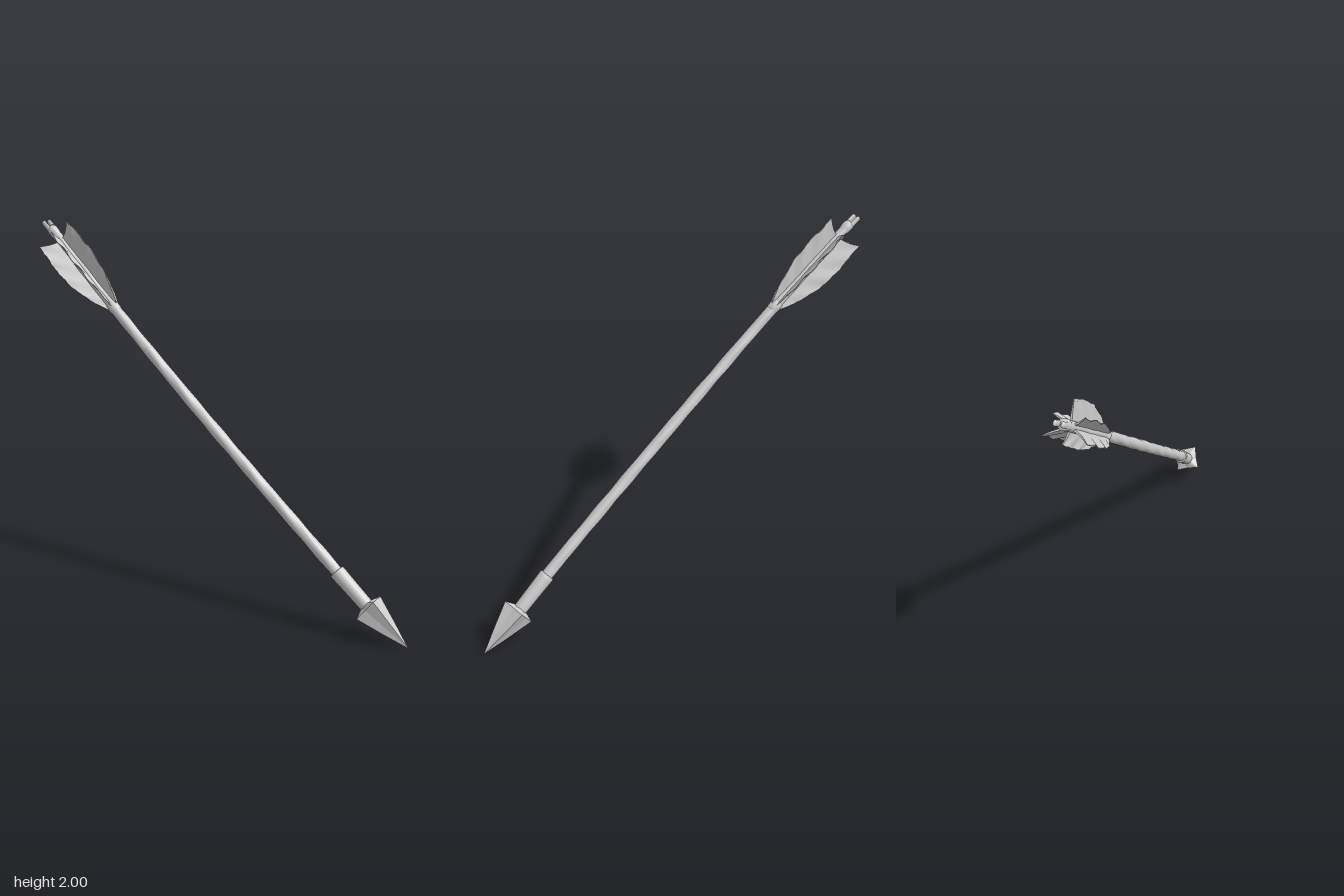
import * as THREE from 'three';

const V = (x, y, z) => new THREE.Vector3(x, y, z);
const nockBase = V(-0.715, 1.94, -0.93);
const nockEnd = V(-0.742, 1.975, -0.97);
const fletchStart = V(-0.437, 1.555, -0.53);
const collarStart = V(0.515, 0.338, 0.675);
const headBase = V(0.647, 0.176, 0.825);
const tip = V(0.812, 0, 1);

// Stand a part built along +y at `from`, pointing to `to`, with its x axis near `side`
function place(mesh, from, to, side = V(0.8, 0.05, -0.58)) {
  const y = to.clone().sub(from).normalize();
  const z = side.clone().cross(y).normalize();
  const x = y.clone().cross(z);
  mesh.quaternion.setFromRotationMatrix(new THREE.Matrix4().makeBasis(x, y, z));
  mesh.position.copy(from);
  return mesh;
}

function lathe(profile, sides) {
  return new THREE.LatheGeometry(profile.map(([r, y]) => new THREE.Vector2(r, y)), sides);
}

// Slightly bowed wooden shaft with shallow twisted grain
function shaftGeometry() {
  const path = new THREE.CatmullRomCurve3([
    nockBase, fletchStart, V(-0.018, 1.004, 0.02), collarStart, V(0.6, 0.235, 0.77),
  ]);
  const rings = 200, sides = 28;
  const geo = new THREE.TubeGeometry(path, rings, 0.031, sides);
  const pos = geo.attributes.position;
  const p = V(), c = V();
  for (let i = 0; i <= rings; i++) {
    const t = i / rings;
    path.getPointAt(t, c);
    const taper = 0.88 + 0.18 * Math.min(1, t * 2);
    for (let j = 0; j <= sides; j++) {
      const a = (j / sides) * Math.PI * 2;
      const grain = 0.025 * Math.sin(2 * a + 80 * t) + 0.025 * Math.sin(4 * a + 60 * t);
      const k = i * (sides + 1) + j;
      p.fromBufferAttribute(pos, k).sub(c).multiplyScalar(taper + grain).add(c);
      pos.setXYZ(k, p.x, p.y, p.z);
    }
  }
  geo.computeVertexNormals();
  return geo;
}

// Four-bladed head: eight sides with every second ridge drawn inward
function headGeometry(length) {
  const profile = [[0.03, -0.025], [0.096, 0], [0.05, length * 0.5], [0, length]];
  const geo = lathe(profile, 8);
  const pos = geo.attributes.position;
  for (let i = 0; i < pos.count; i++) {
    const column = Math.floor(i / profile.length), row = i % profile.length;
    const k = column % 2 === 1 && row > 0 ? 0.65 : 1;
    pos.setXYZ(i, pos.getX(i) * k, pos.getY(i), pos.getZ(i) * k);
  }
  return geo;
}

// Thin feather vane: y runs along the shaft, x outward, z is the rippled thickness
function featherGeometry(span, seed) {
  const geo = new THREE.BoxGeometry(1, 1, 1, 8, 48, 1);
  const pos = geo.attributes.position;
  for (let i = 0; i < pos.count; i++) {
    const r = pos.getX(i) + 0.5, s = pos.getY(i) + 0.5, side = pos.getZ(i) * 2;
    const swell = Math.pow(Math.sin((Math.PI / 2) * Math.min(1, s * 1.55)), 0.85);
    const ragged = 0.0015 * Math.sin(s * 43 + seed) + 0.001 * Math.sin(s * 91 + seed * 2);
    const narrowing = 0.08 * span * Math.max(0, s - 0.75) / 0.25;
    const width = 0.008 + (span + ragged) * swell - narrowing;
    const ripple = 0.005 * r * swell * Math.sin(s * 24 - r * 3 + seed);
    pos.setXYZ(
      i,
      0.02 + r * width,
      -0.008 + s * 0.535 + 0.037 * s * r * r,
      ripple + side * (0.006 - 0.004 * r),
    );
  }
  geo.computeVertexNormals();
  return geo;
}

export function createModel() {
  const model = new THREE.Group();
  model.name = 'arrow';
  const smooth = new THREE.MeshStandardMaterial({ color: 0xcccccc });
  const faceted = new THREE.MeshStandardMaterial({ color: 0xcccccc, flatShading: true });
  const twoSided = new THREE.MeshStandardMaterial({ color: 0xcccccc, side: THREE.DoubleSide });
  const add = (name, mesh) => {
    mesh.name = name;
    model.add(mesh);
  };

  add('shaft', new THREE.Mesh(shaftGeometry(), smooth));

  // Bladed arrowhead
  const head = new THREE.Mesh(headGeometry(headBase.distanceTo(tip)), faceted);
  add('arrowhead', place(head, headBase, tip, V(0.16, 0.08, -0.07)));

  // Socket joining the head to the shaft
  const length = collarStart.distanceTo(headBase) + 0.01;
  const socket = new THREE.Mesh(lathe([
    [0.028, 0.004], [0.038, 0], [0.043, 0.005], [0.043, 0.03],
    [0.041, 0.1], [0.038, length],
  ], 24), twoSided);
  add('socket', place(socket, collarStart, headBase));

  // Binding at the front of the feathers
  const binding = new THREE.Mesh(lathe([
    [0.027, -0.03], [0.033, -0.025], [0.034, 0], [0.033, 0.025], [0.027, 0.03],
  ], 24), smooth);
  add('binding', place(binding, fletchStart, nockBase));

  // Three large feathers around the shaft, with a smaller one in each gap
  const axis = nockBase.clone().sub(fletchStart).normalize();
  for (let i = 0; i < 6; i++) {
    const large = i % 2 === 0;
    const outward = V(0.05, 0.085, 0.07).applyAxisAngle(axis, (i * Math.PI) / 3);
    const feather = new THREE.Mesh(featherGeometry(large ? 0.108 : 0.07, i * 1.7), twoSided);
    add((large ? 'largeFeather' : 'smallFeather') + (i + 1), place(feather, fletchStart, nockBase, outward));
  }

  // Nock: rounded end cap with two prongs
  const nock = new THREE.Group();
  const cap = new THREE.Mesh(lathe([[0.026, -0.05], [0.03, -0.03], [0.03, 0], [0.024, 0.012], [0, 0.012]], 20), smooth);
  cap.name = 'nockCap';
  nock.add(cap);
  for (const side of [-1, 1]) {
    const prong = new THREE.Mesh(new THREE.CapsuleGeometry(0.01, 0.052, 4, 10), smooth);
    prong.name = side > 0 ? 'nockProngLeft' : 'nockProngRight';
    prong.position.set(side * 0.02, 0.032, 0);
    prong.scale.z = 1.6;
    nock.add(prong);
  }
  add('nock', place(nock, nockBase, nockEnd));

  return model;
}
